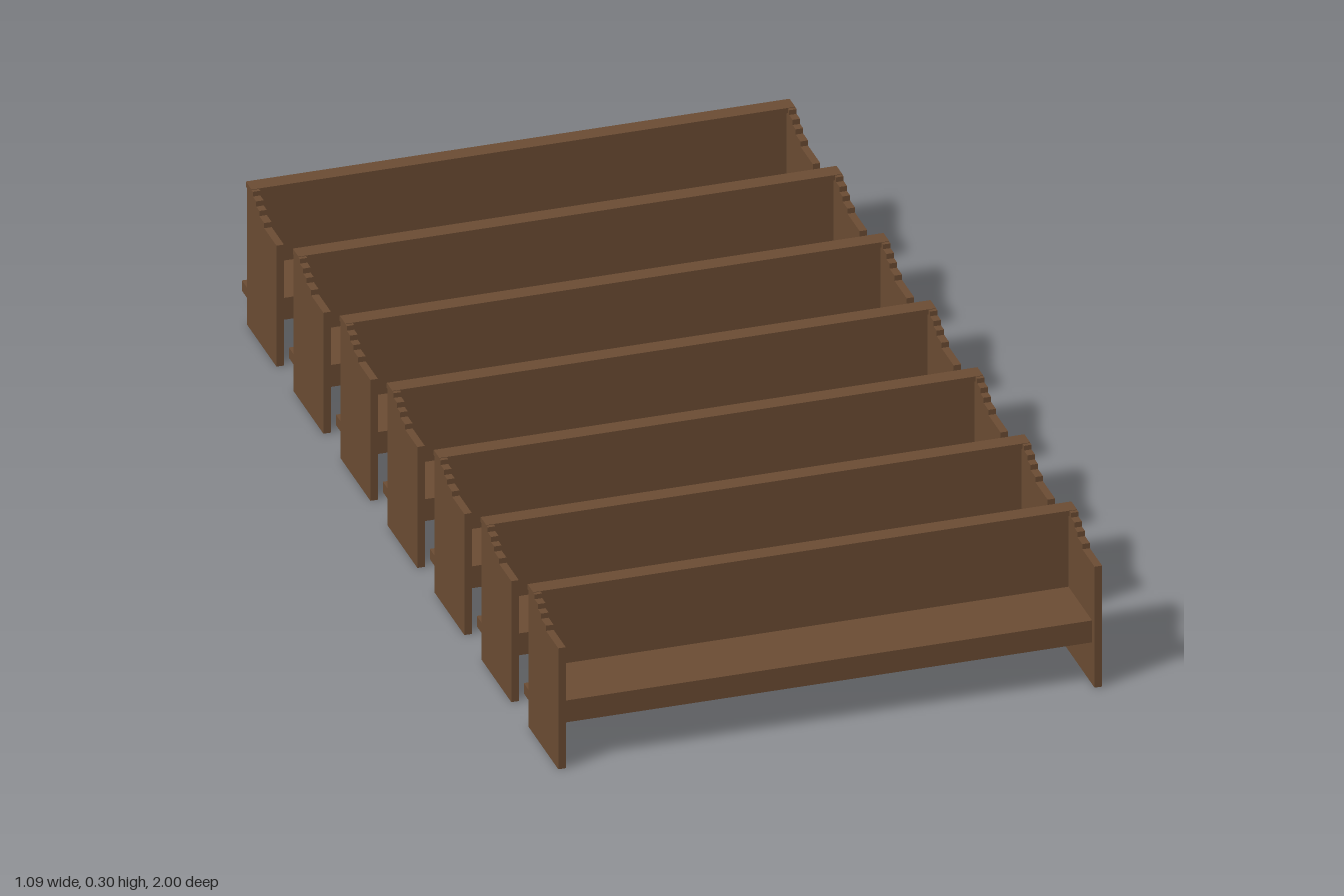
import * as THREE from 'three';

const ROWS = 7;
const PITCH = 0.288;

export function createModel() {
  const wood = new THREE.MeshStandardMaterial({ color: 0x6b4c33 });
  wood.name = 'brown wood';

  // Side profile of a pew end, x running from its front edge (0) to the back
  const profile = [
    [0, 0], [0.182, 0], [0.182, 0.303], [0.145, 0.303], [0.145, 0.293],
    [0.124, 0.293], [0.124, 0.282], [0.105, 0.282], [0.105, 0.271],
    [0.075, 0.271], [0.075, 0.26], [0, 0.26],
  ];
  const endShape = new THREE.Shape(profile.map(([x, y]) => new THREE.Vector2(x, y)));
  const endGeometry = new THREE.ExtrudeGeometry(endShape, { depth: 0.015, bevelEnabled: false });
  endGeometry.translate(0, 0, -0.0075);
  endGeometry.rotateY(Math.PI / 2); // profile now runs towards -z

  // Board of half width w, between heights y0..y1 and depths z0..z1
  function board(name, w, y0, y1, z0, z1) {
    const mesh = new THREE.Mesh(new THREE.BoxGeometry(w * 2, y1 - y0, z1 - z0), wood);
    mesh.name = name;
    mesh.position.set(0, (y0 + y1) / 2, (z0 + z1) / 2);
    return mesh;
  }

  function createPew() {
    const pew = new THREE.Group();
    for (const side of [-1, 1]) {
      const end = new THREE.Mesh(endGeometry, wood);
      end.name = side > 0 ? 'leftEnd' : 'rightEnd';
      end.position.x = side * 0.5365;
      pew.add(end);
    }
    pew.add(
      board('seat', 0.53, 0.09, 0.137, -0.16, -0.015),
      board('backrest', 0.53, 0.04, 0.295, -0.175, -0.16),
      board('topRail', 0.544, 0.293, 0.304, -0.188, -0.153),
      board('rearRail', 0.53, 0.19, 0.205, -0.186, -0.174),
      board('kneeler', 0.525, 0.025, 0.047, -0.27, -0.224),
    );
    return pew;
  }

  const model = new THREE.Group();
  model.name = 'pewRows';
  for (let i = 0; i < ROWS; i++) {
    const pew = createPew();
    pew.name = `pew${i + 1}`;
    pew.position.z = 1 - i * PITCH;
    model.add(pew);
  }
  return model;
}
